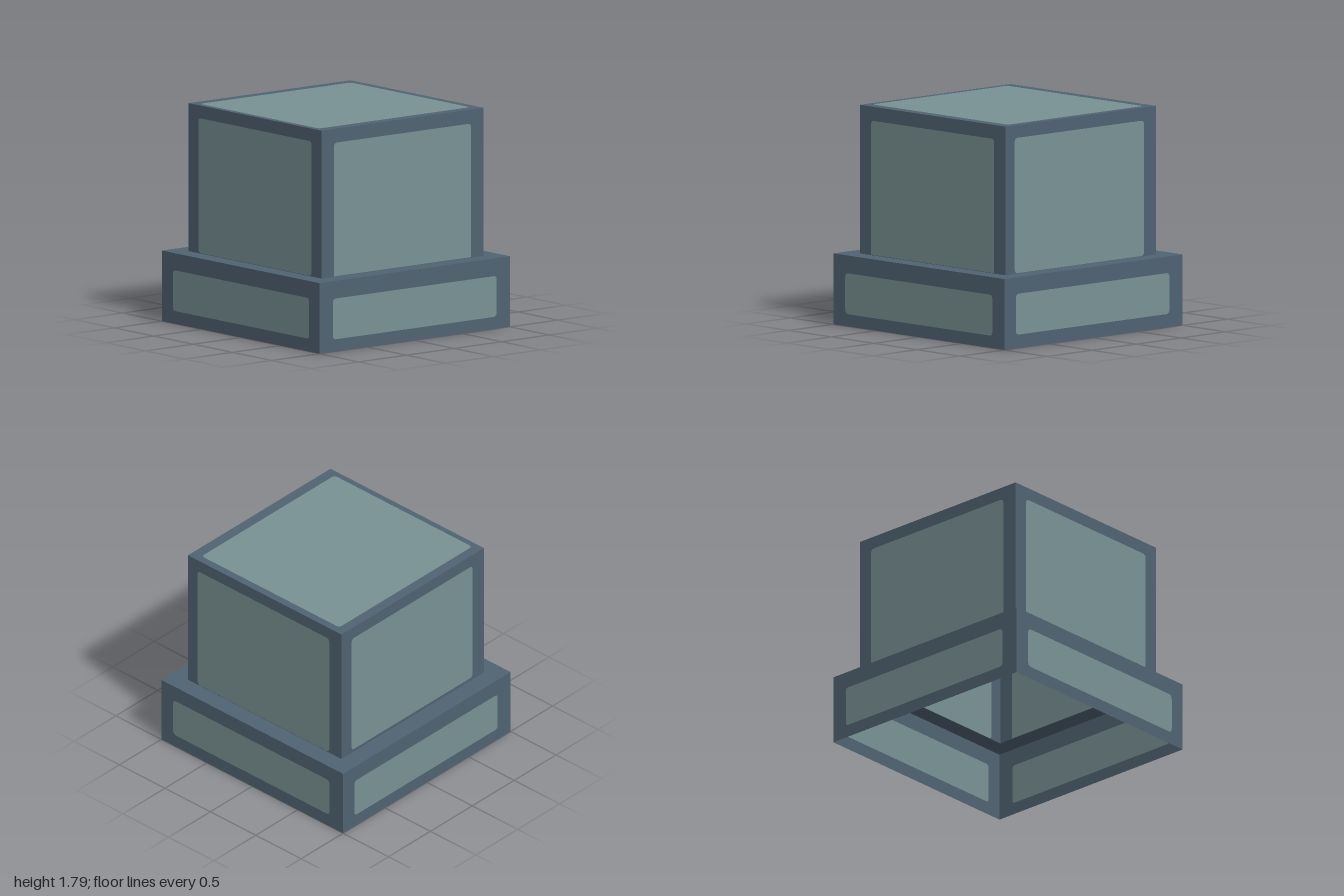
import * as THREE from 'three';

const frameMat = new THREE.MeshStandardMaterial({ name: 'slate blue frame', color: 0x506272, side: THREE.DoubleSide });
const panelMat = new THREE.MeshStandardMaterial({ name: 'grey green panel', color: 0x799294, side: THREE.DoubleSide });

// Traces a rectangle with rounded corners (rb: bottom radius) into a path
function trace(path, [x0, y0, x1, y1], r, rb = r) {
  path.moveTo(x0 + rb, y0);
  path.lineTo(x1 - rb, y0);
  path.quadraticCurveTo(x1, y0, x1, y0 + rb);
  path.lineTo(x1, y1 - r);
  path.quadraticCurveTo(x1, y1, x1 - r, y1);
  path.lineTo(x0 + r, y1);
  path.quadraticCurveTo(x0, y1, x0, y1 - r);
  path.lineTo(x0, y0 + rb);
  path.quadraticCurveTo(x0, y0, x0 + rb, y0);
  return path;
}

function rectangle(w, y0, y1) {
  return new THREE.Shape([[-w, y0], [w, y0], [w, y1], [-w, y1]].map(p => new THREE.Vector2(...p)));
}

// Flat sheet whose opening is filled by a rounded panel
function panelledSheet(name, outline, rect, r = 0.035, rb = r) {
  const sheet = new THREE.Group();
  sheet.name = name;
  outline.holes.push(trace(new THREE.Path(), rect, r, rb));
  const frame = new THREE.Mesh(new THREE.ShapeGeometry(outline, 6), frameMat);
  frame.name = name + 'Frame';
  const panel = new THREE.Mesh(new THREE.ShapeGeometry(trace(new THREE.Shape(), rect, r, rb), 6), panelMat);
  panel.name = name + 'Panel';
  sheet.add(frame, panel);
  return sheet;
}

export function createModel() {
  const model = new THREE.Group();
  model.name = 'steppedBox';
  const step = 0.58, top = 1.795, halfX = 0.85, halfZ = 0.845;

  // Walls: side name, turn about y, base panel, upper panel, upper bottom radius
  const sides = [
    ['front', 0, [-0.86, 0.10, 0.86, 0.435], [-0.72, 0.583, 0.72, 1.68], 0.003],
    ['positiveX', Math.PI / 2, [-0.87, 0.11, 0.85, 0.445], [-0.74, 0.583, 0.71, 1.69], 0.035],
    ['back', Math.PI, [-0.865, 0.105, 0.845, 0.44], [-0.73, 0.605, 0.715, 1.69], 0.035],
    ['negativeX', -Math.PI / 2, [-0.86, 0.105, 0.87, 0.44], [-0.72, 0.583, 0.72, 1.69], 0.035],
  ];
  sides.forEach(([name, turn, baseRect, upperRect, rb], i) => {
    const base = panelledSheet(name + 'BaseWall', rectangle(1, 0, step), baseRect);
    const alongX = i % 2 === 0;
    const upper = panelledSheet(name + 'UpperWall',
      rectangle(alongX ? halfX : halfZ, step, top), upperRect, 0.035, rb);
    for (const [wall, d] of [[base, 1], [upper, alongX ? halfZ : halfX]]) {
      wall.rotation.y = turn;
      wall.position.set(Math.sin(turn) * d, 0, Math.cos(turn) * d);
      model.add(wall);
    }
  });

  // Roof panel
  const roof = panelledSheet('roof', rectangle(halfX, -halfZ, halfZ), [-0.80, -0.755, 0.785, 0.76]);
  roof.rotation.x = -Math.PI / 2;
  roof.position.y = top;
  model.add(roof);

  // Open ledge between base and upper box
  const ledgeShape = rectangle(1, -1, 1);
  ledgeShape.holes.push(rectangle(halfX, -halfZ, halfZ));
  const ledge = new THREE.Mesh(new THREE.ShapeGeometry(ledgeShape), frameMat);
  ledge.name = 'ledge';
  ledge.rotation.x = -Math.PI / 2;
  ledge.position.y = step;
  model.add(ledge);

  return model;
}
